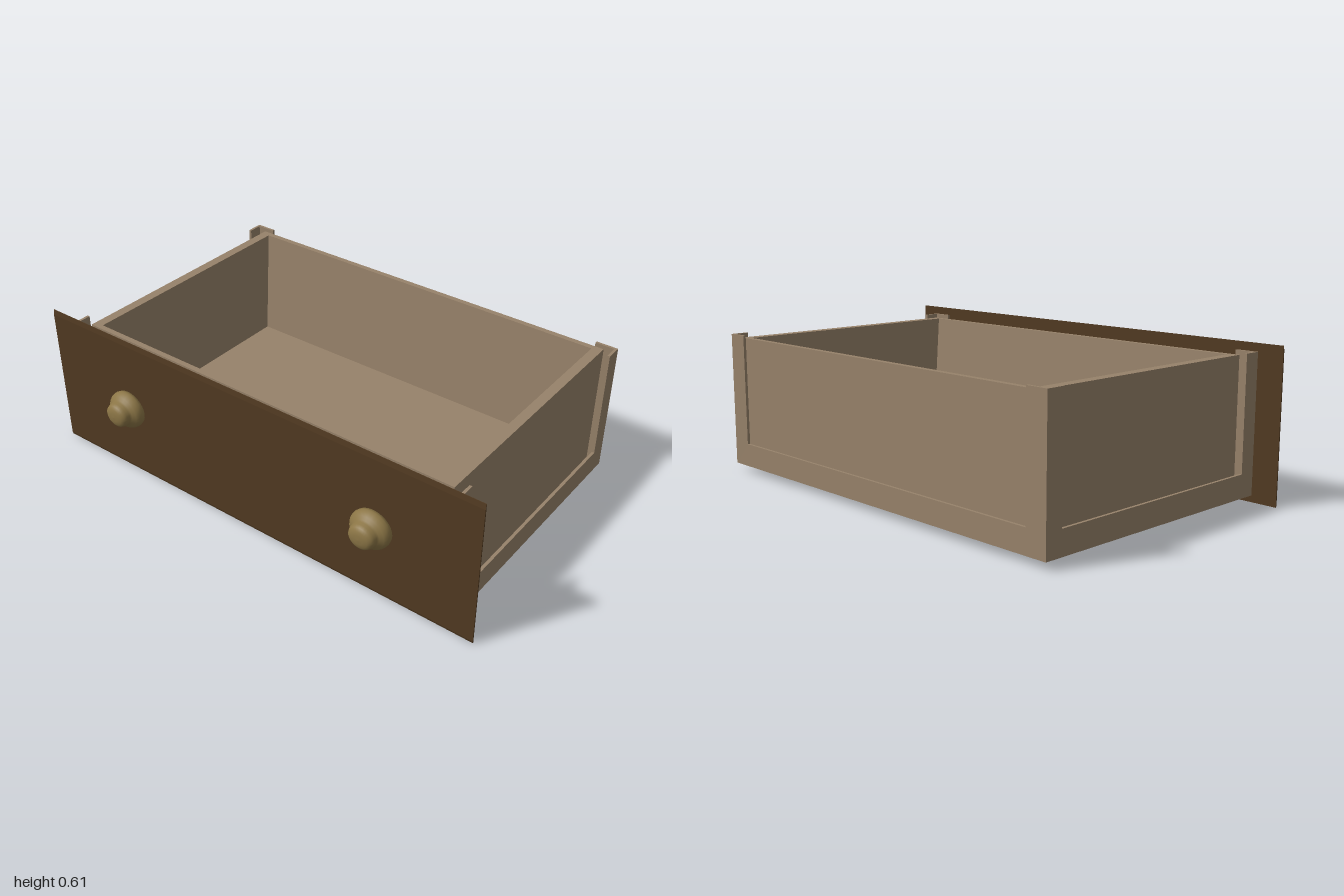
import * as THREE from 'three';

const paleWood = new THREE.MeshStandardMaterial({ color: 0x97826a });
paleWood.name = 'paleWood';
const darkWood = new THREE.MeshStandardMaterial({ color: 0x513a21 });
darkWood.name = 'darkWood';
const brass = new THREE.MeshStandardMaterial({ color: 0x8c7646 });
brass.name = 'brass';

const BASE = 0.03, RAIL = 0.124, POST_TOP = 0.578;
const TRAY_BASE = 0.05, TRAY_TOP = 0.566;
const BACK = -0.618, FRONT = 0.51, FRAME = 0.011;

function add(parent, name, geometry, material, x = 0, y = 0, z = 0) {
  const mesh = new THREE.Mesh(geometry, material);
  mesh.name = name;
  mesh.position.set(x, y, z);
  parent.add(mesh);
  return mesh;
}

function makeShape(points) {
  return new THREE.Shape(points.map(([x, y]) => new THREE.Vector2(x, y)));
}

function extrude(shape, depth) {
  return new THREE.ExtrudeGeometry(shape, { depth, bevelEnabled: false })
    .translate(0, 0, -depth / 2);
}

function rectangle(x, y) {
  return [[-x, -y], [x, -y], [x, y], [-x, y]];
}

// Thin open U-shaped frame: two posts joined by a bottom rail
function frameGeometry(width, post) {
  const w = width / 2, i = w - post;
  return extrude(makeShape([
    [-w, BASE], [w, BASE], [w, POST_TOP], [i, POST_TOP],
    [i, RAIL], [-i, RAIL], [-i, POST_TOP], [-w, POST_TOP],
  ]), FRAME);
}

// Profile of [z, y] points swept along x
function sweepX(profile, width) {
  return extrude(makeShape(profile.map(([z, y]) => [-z, y])), width).rotateY(Math.PI / 2);
}

export function createModel() {
  const model = new THREE.Group();
  model.name = 'drawer';
  const midZ = (BACK + FRONT) / 2, length = FRONT - BACK;

  // Outer shell: thin open frames on four sides and underneath
  const shell = new THREE.Group();
  shell.name = 'outerFrame';
  model.add(shell);
  for (const [side, name] of [[1, 'leftFrame'], [-1, 'rightFrame']]) {
    add(shell, name, frameGeometry(length, 0.071).rotateY(Math.PI / 2),
      paleWood, side * (0.9 - FRAME / 2), 0, midZ);
  }
  add(shell, 'backFrame', frameGeometry(1.8, 0.09), paleWood, 0, 0, BACK + FRAME / 2);
  add(shell, 'frontFrame', frameGeometry(1.8, 0.09), paleWood, 0, 0, FRONT - FRAME / 2);
  const bottom = makeShape(rectangle(0.9, length / 2));
  bottom.holes.push(makeShape(rectangle(0.81, length / 2 - 0.073)));
  add(shell, 'bottomFrame', extrude(bottom, FRAME).rotateX(Math.PI / 2),
    paleWood, 0, BASE + FRAME / 2, midZ);

  // Inner tray, set back from the frames
  const tray = new THREE.Group();
  tray.name = 'tray';
  model.add(tray);
  for (const [side, name] of [[1, 'leftWall'], [-1, 'rightWall']]) {
    add(tray, name, new THREE.BoxGeometry(0.04, TRAY_TOP - TRAY_BASE, 1.065),
      paleWood, side * 0.83, (TRAY_TOP + TRAY_BASE) / 2, -0.0675);
  }
  // End walls, thicker towards the floor
  add(tray, 'backWall', sweepX([
    [-0.6, TRAY_BASE], [-0.545, TRAY_BASE], [-0.545, 0.1], [-0.577, TRAY_TOP], [-0.6, TRAY_TOP],
  ], 1.62), paleWood);
  add(tray, 'frontWall', sweepX([
    [0.465, TRAY_BASE], [0.41, TRAY_BASE], [0.41, 0.1], [0.443, TRAY_TOP], [0.465, TRAY_TOP],
  ], 1.62), paleWood);
  add(tray, 'floor', new THREE.BoxGeometry(1.62, 0.1 - TRAY_BASE, 0.955),
    paleWood, 0, (0.1 + TRAY_BASE) / 2, -0.0675);

  // Thin front panel with chamfered top and bottom edges
  add(model, 'frontPanel', sweepX([
    [0.521, 0], [0.523, 0], [0.526, 0.01], [0.526, 0.587], [0.523, 0.609], [0.521, 0.609],
  ], 2), darkWood);

  // Turned knobs: wide rounded base, neck and domed cap
  const profile = [
    [0, 0], [0.064, 0], [0.076, 0.006], [0.079, 0.018], [0.077, 0.032], [0.069, 0.045],
    [0.056, 0.052], [0.052, 0.06], [0.051, 0.072], [0.046, 0.084], [0.034, 0.092],
    [0.018, 0.095], [0, 0.096],
  ].map(([r, h]) => new THREE.Vector2(r, h));
  const knobGeometry = new THREE.LatheGeometry(profile, 28)
    .rotateX(Math.PI / 2).scale(1.06, 0.98, 1);
  for (const [x, name] of [[0.58, 'leftKnob'], [-0.603, 'rightKnob']]) {
    add(model, name, knobGeometry, brass, x, 0.304, 0.524);
  }

  return model;
}
